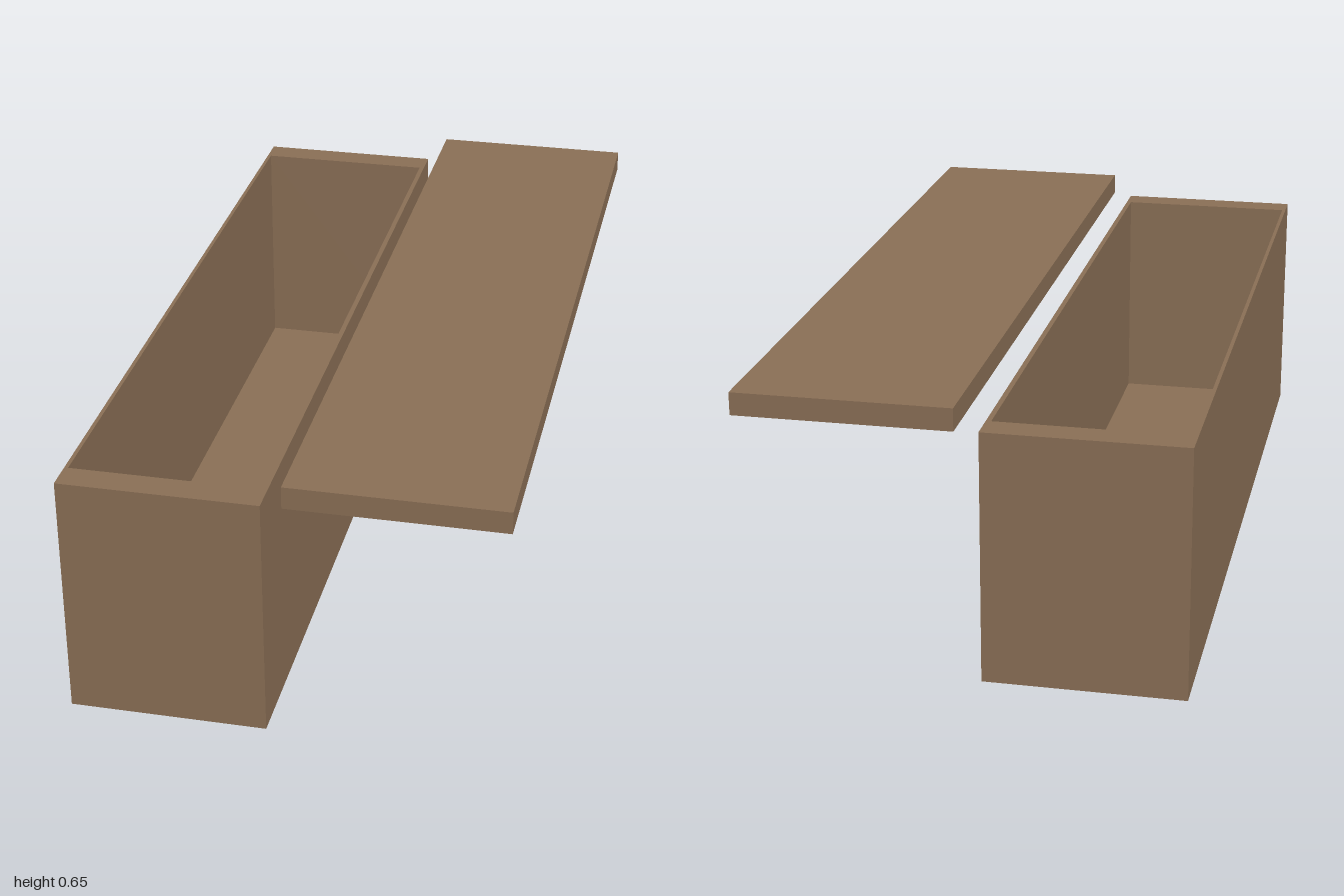
import * as THREE from 'three';

const wood = new THREE.MeshStandardMaterial({ color: 0x8b7056, flatShading: true });

// Corner points of a rectangle in plan (x, z), written as shape coordinates (x, -z)
function rectangle(x0, x1, z0, z1) {
  return [[x0, -z1], [x1, -z1], [x1, -z0], [x0, -z0]].map(([x, y]) => new THREE.Vector2(x, y));
}

// Upright slab of a plan outline, standing on height y, with optional hole
function slab(name, outline, y, height, hole) {
  const shape = new THREE.Shape(outline);
  if (hole) shape.holes.push(new THREE.Path(hole));
  const geometry = new THREE.ExtrudeGeometry(shape, { depth: height, bevelEnabled: false });
  geometry.rotateX(-Math.PI / 2);
  const mesh = new THREE.Mesh(geometry, wood);
  mesh.name = name;
  mesh.position.y = y;
  return mesh;
}

export function createModel() {
  const model = new THREE.Group();
  model.name = 'openBoxWithLid';

  // Open box: thin long sides, thick ends, and a floor filling the bottom of the opening
  const outer = rectangle(-0.507, -0.043, -0.98, 0.992);
  const inner = rectangle(-0.498, -0.055, -0.91, 0.922);
  const box = new THREE.Group();
  box.name = 'box';
  box.add(slab('boxWalls', outer, 0, 0.595, inner));
  box.add(slab('boxFloor', inner, 0, 0.03));
  model.add(box);

  // Lid lying beside the box, just above its rim
  model.add(slab('lid', rectangle(0.007, 0.507, -1, 1), 0.6, 0.053));

  return model;
}
